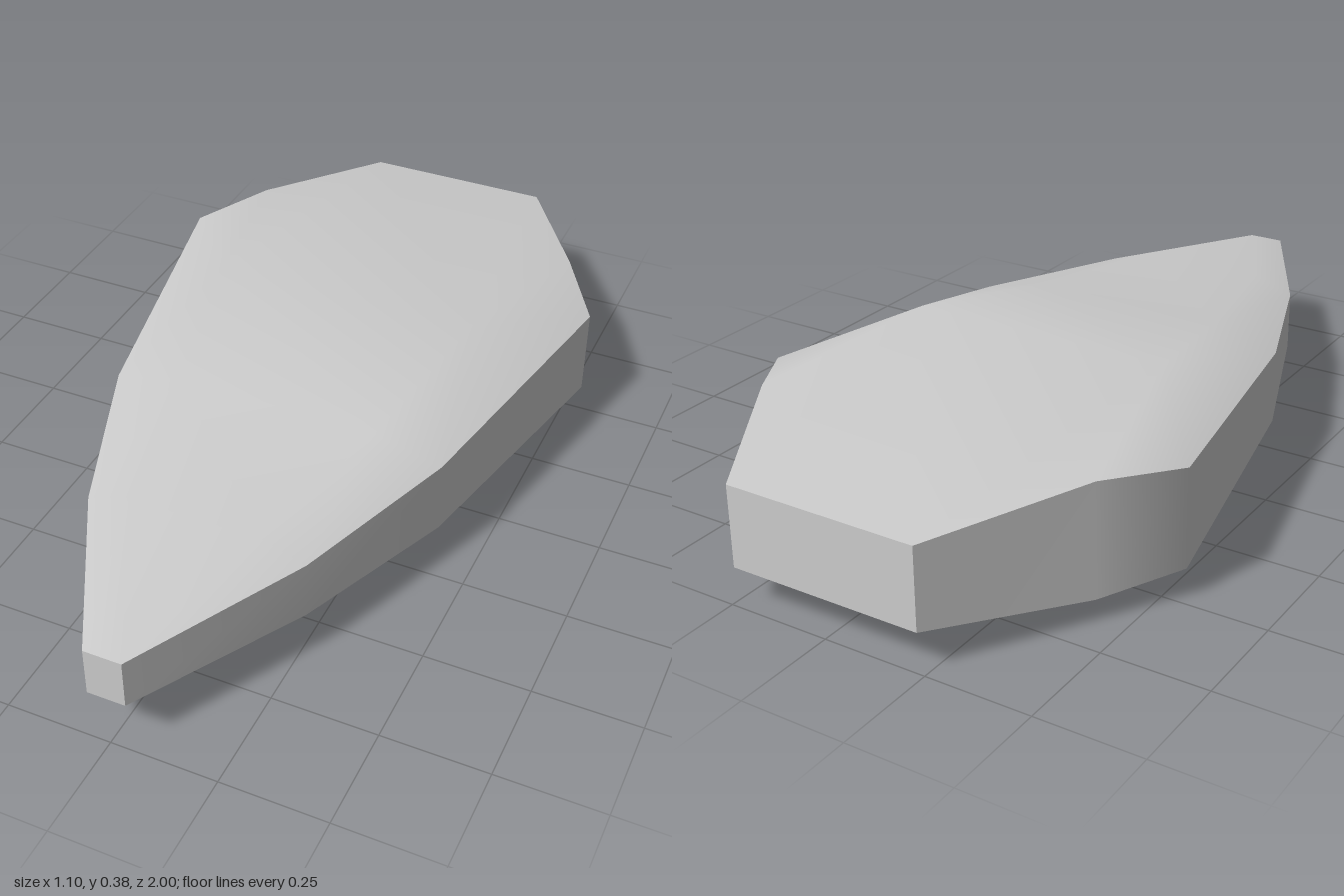
import * as THREE from 'three';

const MID = 0.192; // height of the horizontal mirror plane
// One side, nose to tail: [half width, half thickness, z]
const rim = [[0.045, 0.06, 1], [0.265, 0.072, 0.6], [0.415, 0.09, 0.2],
  [0.548, 0.11, -0.48], [0.435, 0.137, -0.66], [0.235, 0.097, -1]];
const ridge = [[0.16, 0.107, 0.6], [0.25, 0.133, 0.2], [0.33, 0.192, -0.2]];
const points = [...rim, ...ridge];
const N = points.length;

// Point i on side sx (+1 left, -1 right), above or below the mirror plane
function corner(i, sx, sy) {
  const [x, h, z] = points[i];
  const thick = i === 3 && sx < 0 ? 0.119 : h; // slightly thicker right shoulder
  return [sx * x, MID + sy * thick, z];
}

function mesh(name, positions, index) {
  const g = new THREE.BufferGeometry();
  g.setAttribute('position', new THREE.Float32BufferAttribute(positions.flat(), 3));
  g.setIndex(index);
  g.computeVertexNormals();
  const m = new THREE.Mesh(g, new THREE.MeshStandardMaterial({ color: 0xcccccc }));
  m.name = name;
  return m;
}

// Faceted shell: flat centre strip plus sloping shoulders on both sides
function shell(name, sy) {
  const positions = [1, -1].flatMap(sx => points.map((_, i) => corner(i, sx, sy)));
  const index = [];
  const tri = (a, b, c) => index.push(...(sy > 0 ? [a, b, c] : [a, c, b]));
  const shoulders = [[0, 1, 6], [1, 2, 7], [1, 7, 6], [2, 3, 8], [2, 8, 7], [3, 4, 8], [4, 5, 8]];
  for (const [a, b, c] of shoulders) {
    tri(a, b, c);
    tri(a + N, c + N, b + N);
  }
  for (const [a, b] of [[0, 6], [6, 7], [7, 8], [8, 5]]) {
    tri(a, b, b + N);
    tri(a, b + N, a + N);
  }
  return mesh(name, positions, index);
}

// Upright wall following a path of [point, side] pairs along the rim
function wall(name, path) {
  const positions = path.flatMap(([i, sx]) => [corner(i, sx, -1), corner(i, sx, 1)]);
  const index = [];
  for (let k = 0; k < path.length - 1; k++) {
    const a = 2 * k;
    index.push(a, a + 2, a + 3, a, a + 3, a + 1);
  }
  return mesh(name, positions, index);
}

export function createModel() {
  const group = new THREE.Group();
  group.name = 'taperedHull';
  const order = rim.map((_, i) => i);
  group.add(
    shell('topShell', 1),
    shell('bottomShell', -1),
    wall('leftWall', order.map(i => [i, 1])),
    wall('rightWall', [...order].reverse().map(i => [i, -1])),
    wall('noseWall', [[0, -1], [0, 1]]),
    wall('tailWall', [[5, 1], [5, -1]])
  );
  return group;
}
